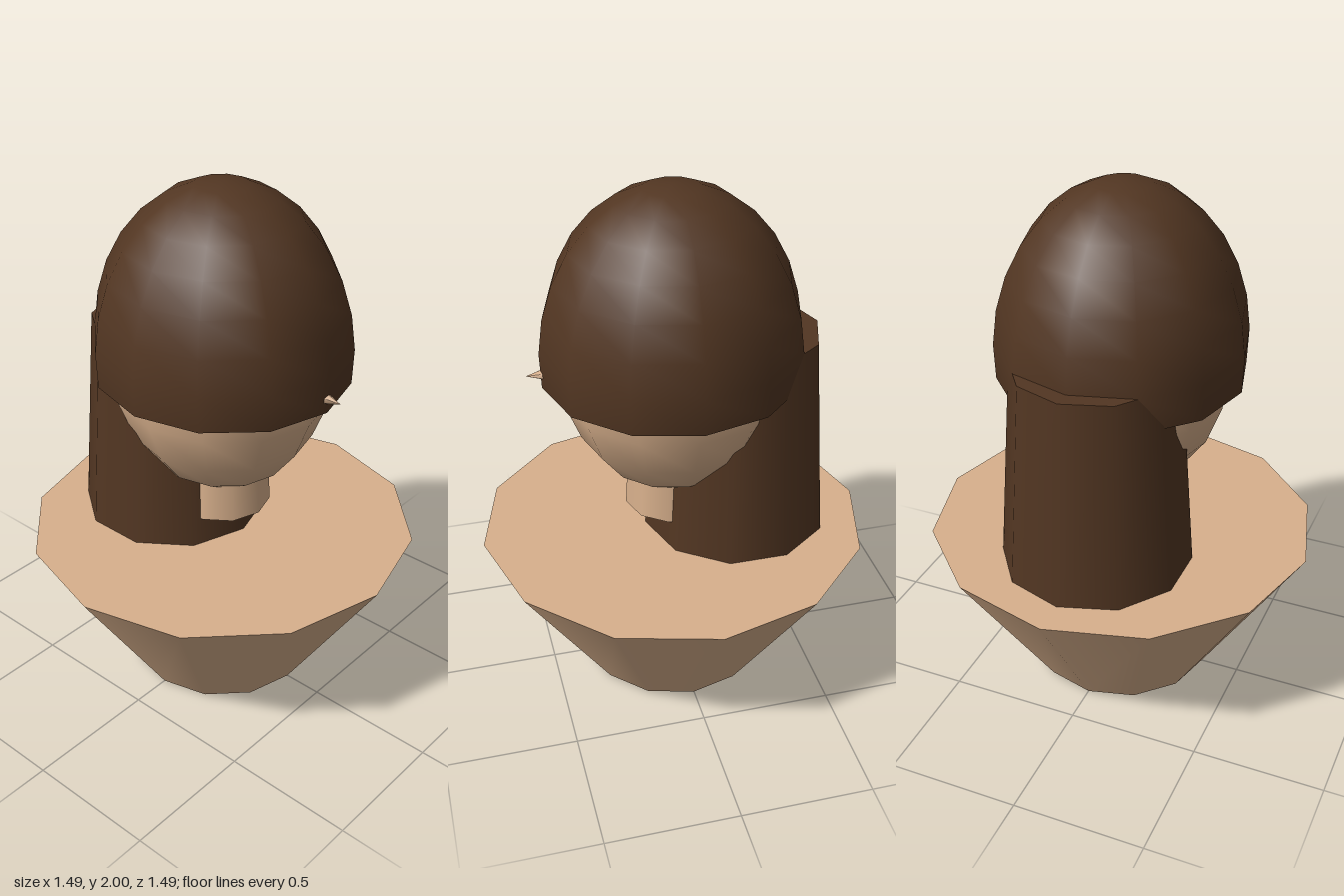
import * as THREE from 'three';

export function createModel() {
  const group = new THREE.Group();
  const skin = new THREE.MeshStandardMaterial({ color: 0xd8b08c });
  skin.name = 'skin';
  const hair = new THREE.MeshStandardMaterial({ color: 0x523622, side: THREE.DoubleSide });
  hair.name = 'hair brown';

  const add = (name, geometry, material, x, y, z) => {
    const mesh = new THREE.Mesh(geometry, material);
    mesh.name = name;
    mesh.position.set(x, y, z);
    group.add(mesh);
    return mesh;
  };

  // Tapered shoulders, wide at the top
  add('shoulders', new THREE.CylinderGeometry(0.745, 0.35, 0.61, 12), skin, 0, 0.305, 0);

  // Short neck
  add('neck', new THREE.CylinderGeometry(0.17, 0.185, 0.3, 10), skin, 0, 0.87, 0);

  // Egg-shaped head
  add('head', new THREE.SphereGeometry(1, 12, 10), skin, 0, 1.36, 0).scale.set(0.41, 0.55, 0.43);

  // Small pointed nose poking through the fringe
  const nose = new THREE.ConeGeometry(0.04, 0.12, 6);
  nose.rotateX(Math.PI / 2);
  add('nose', nose, skin, 0, 1.325, 0.48);

  // Open dome of hair, ending just below its widest point
  const dome = new THREE.SphereGeometry(1, 12, 8, 0, Math.PI * 2, 0, Math.PI * 0.55);
  add('hairCap', dome, hair, 0, 1.37, 0).scale.set(0.465, 0.63, 0.49);

  // Long hair falling down the back
  add('backHair', new THREE.CylinderGeometry(0.305, 0.36, 0.8, 10), hair, 0, 1.01, -0.25);

  return group;
}
